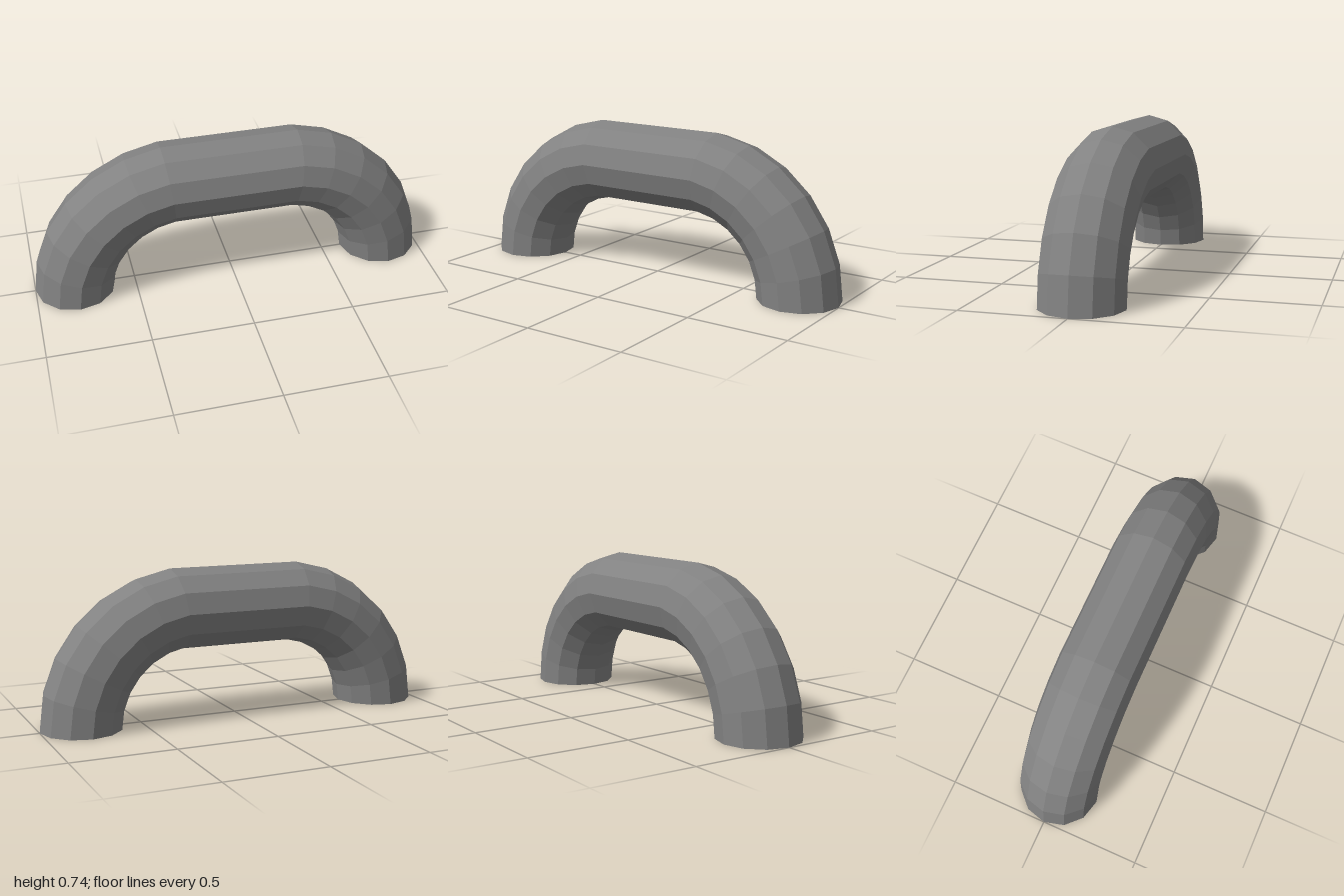
import * as THREE from 'three';

const SIDES = 12, TUBE = 0.2;      // round section
const BEND = 0.55, OFFSET = 0.25;  // bend radius and bend centre at x = +-OFFSET
const STEPS = 6, SWEEP = THREE.MathUtils.degToRad(83.1);

// Ring stations from the +x foot over the bridge to the -x foot
function stations() {
  const half = [];
  for (let i = 0; i <= STEPS; i++) {
    const t = (i / STEPS) * SWEEP;
    half.push({ cx: OFFSET, dx: Math.cos(t), dy: Math.sin(t) });
  }
  const mirrored = half.map(s => ({ cx: -s.cx, dx: -s.dx, dy: s.dy })).reverse();
  return [...half, ...mirrored];
}

function archGeometry() {
  const rings = stations();
  const pos = [], index = [];
  for (const { cx, dx, dy } of rings) {
    for (let j = 0; j < SIDES; j++) {
      const a = (j / SIDES) * Math.PI * 2;
      const r = BEND + TUBE * Math.cos(a);
      pos.push(cx + dx * r, dy * r, TUBE * Math.sin(a));
    }
  }
  // Tube walls
  for (let i = 0; i < rings.length - 1; i++) {
    for (let j = 0; j < SIDES; j++) {
      const k = (j + 1) % SIDES;
      const a = i * SIDES + j, b = i * SIDES + k;
      index.push(a, a + SIDES, b, b, a + SIDES, b + SIDES);
    }
  }
  // Flat feet
  const last = (rings.length - 1) * SIDES;
  for (let j = 1; j < SIDES - 1; j++) {
    index.push(0, j, j + 1);
    index.push(last, last + j + 1, last + j);
  }
  const g = new THREE.BufferGeometry();
  g.setAttribute('position', new THREE.Float32BufferAttribute(pos, 3));
  g.setIndex(index);
  const flat = g.toNonIndexed();
  flat.computeVertexNormals();
  return flat;
}

export function createModel() {
  const group = new THREE.Group();
  group.name = 'handle';
  const material = new THREE.MeshStandardMaterial({ color: 0x828282, flatShading: true });
  const arch = new THREE.Mesh(archGeometry(), material);
  arch.name = 'archedTube';
  group.add(arch);
  return group;
}
